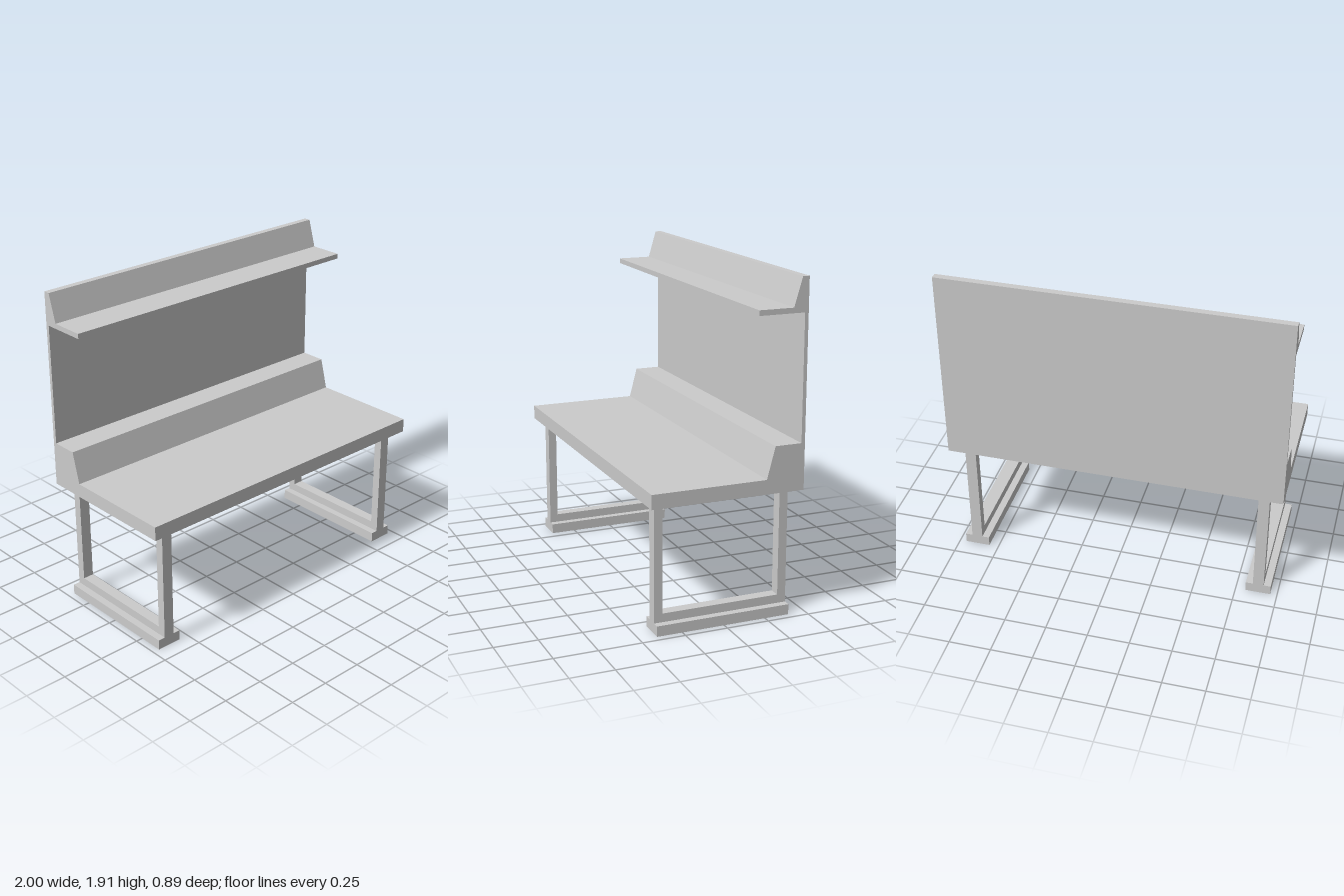
import * as THREE from 'three';

const material = new THREE.MeshStandardMaterial({ color: 0xcccccc, flatShading: true });

const toPoints = (pairs) => pairs.map(([z, y]) => new THREE.Vector2(z, y));

// Extrudes a side profile of [z, y] points along x, centred on x = 0.
function extrudeSide(name, outline, width, hole) {
  const shape = new THREE.Shape(toPoints(outline));
  if (hole) shape.holes.push(new THREE.Path(toPoints(hole)));
  const geometry = new THREE.ExtrudeGeometry(shape, { depth: width, bevelEnabled: false });
  geometry.translate(0, 0, -width / 2).rotateY(-Math.PI / 2);
  const mesh = new THREE.Mesh(geometry, material);
  mesh.name = name;
  return mesh;
}

const rectangle = (z0, z1, y0, y1) => [[z0, y0], [z1, y0], [z1, y1], [z0, y1]];

// Loop-shaped leg standing on a wider foot bar
function createLeg(name, x) {
  const leg = new THREE.Group();
  leg.name = name;
  leg.position.x = x;

  const frame = extrudeSide('legFrame', rectangle(-0.395, 0.4, 0.06, 0.737), 0.065,
    rectangle(-0.345, 0.35, 0.11, 0.722));
  const foot = extrudeSide('footBar', rectangle(-0.395, 0.4, 0, 0.06), 0.15);
  leg.add(frame, foot);
  return leg;
}

export function createModel() {
  const model = new THREE.Group();
  model.name = 'benchWithShelf';

  // Top slab, sloped riser, thin back panel and shelf in one continuous profile
  model.add(extrudeSide('topBackAndShelf', [
    [-0.447, 0.737], [0.447, 0.737], [0.447, 0.82], // slab
    [-0.222, 0.82], [-0.27, 1.003], [-0.426, 1.003], // riser
    [-0.426, 1.717], [-0.157, 1.717], [-0.157, 1.747], // panel and shelf
    [-0.36, 1.747], [-0.408, 1.91], [-0.447, 1.91], // sloped top edge
  ], 2));

  // Mirrored pair of legs
  model.add(createLeg('leftLeg', 0.884), createLeg('rightLeg', -0.884));

  return model;
}
